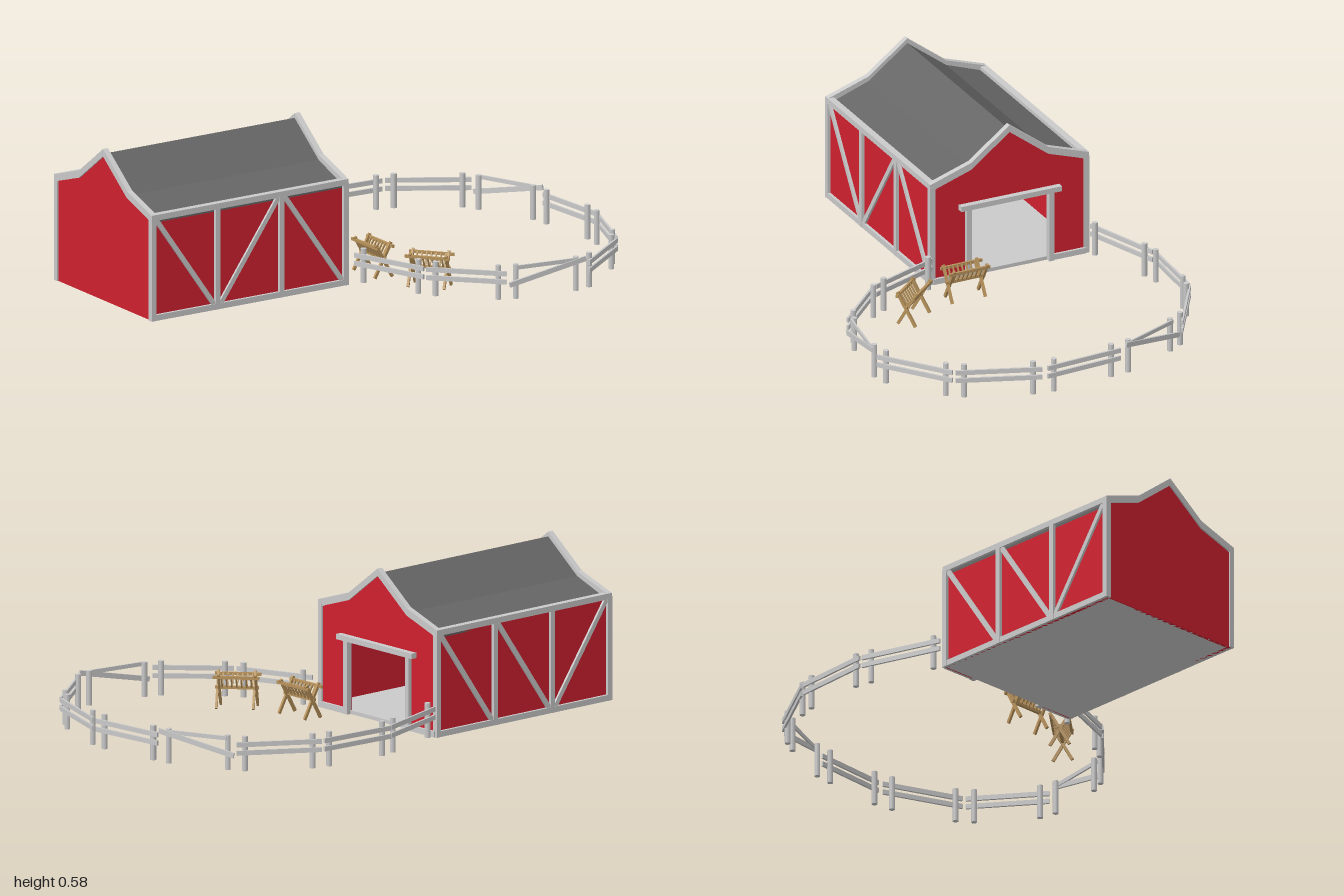
import * as THREE from 'three';

const V = (x, y, z) => new THREE.Vector3(x, y, z);
const material = (name, color) => {
  const m = new THREE.MeshStandardMaterial({ color });
  m.name = name;
  return m;
};

export function createModel() {
  const red = material('barn red', 0xd0202f);
  const white = material('pale trim', 0xcacaca);
  const grey = material('roof grey', 0x666666);
  const wood = material('raw wood', 0xb8935c);

  const add = (parent, name, geometry, mat) => {
    const mesh = new THREE.Mesh(geometry, mat);
    mesh.name = name;
    parent.add(mesh);
    return mesh;
  };
  const box = (parent, name, mat, w, h, d, x, y, z) => {
    const mesh = add(parent, name, new THREE.BoxGeometry(w, h, d), mat);
    mesh.position.set(x, y, z);
    return mesh;
  };
  // Board from a to b: w wide, t thick along the facing direction n
  const board = (parent, name, mat, a, b, w, t, n) => {
    const along = b.clone().sub(a);
    const mesh = add(parent, name, new THREE.BoxGeometry(along.length(), w, t), mat);
    along.normalize();
    const side = n.clone().cross(along).normalize();
    const face = along.clone().cross(side);
    mesh.quaternion.setFromRotationMatrix(new THREE.Matrix4().makeBasis(along, side, face));
    mesh.position.copy(a).add(b).multiplyScalar(0.5);
    return mesh;
  };

  const model = new THREE.Group();
  model.name = 'barn and paddock';

  // ---- Barn, turned slightly ----
  const barn = new THREE.Group();
  barn.name = 'barn';
  barn.position.set(-0.525, 0, -0.075);
  barn.rotation.y = 0.152;
  model.add(barn);

  // Roof line, with a drop in height and a trimmed half width
  const roofLine = (drop, half) => [
    [-half, 0.402 - drop], [-0.158, 0.457 - drop], [0, 0.577 - drop],
    [0.158, 0.457 - drop], [half, 0.402 - drop]];
  const crossSection = (points, depth, x) => {
    const shape = new THREE.Shape(points.map(p => new THREE.Vector2(...p)));
    const g = new THREE.ExtrudeGeometry(shape, { depth, bevelEnabled: false });
    return g.rotateY(Math.PI / 2).translate(x, 0, 0);
  };

  box(barn, 'floor', white, 0.84, 0.014, 0.63, 0, 0.007, 0);
  const top = roofLine(0.018, 0.312);
  add(barn, 'roof', crossSection([...top, ...roofLine(0.032, 0.312).reverse()], 0.82, -0.41), grey);
  add(barn, 'rearGable', crossSection([[0.312, 0], [-0.312, 0], ...top], 0.012, -0.424), red);
  const doorway = [[0.312, 0], [0.16, 0], [0.16, 0.28], [-0.16, 0.28], [-0.16, 0], [-0.312, 0]];
  add(barn, 'doorGable', crossSection([...doorway, ...top], 0.012, 0.412), red);

  for (const x of [-0.43, 0.408]) {
    add(barn, 'gableTrim',
      crossSection([...roofLine(0, 0.324), ...roofLine(0.028, 0.324).reverse()], 0.022, x), white);
  }

  // Long walls: posts, base, eave and diagonal braces; +1 means the brace rises towards +x
  const bays = [-0.42, -0.14, 0.14, 0.42];
  for (const [s, rises] of [[1, [-1, 1, -1]], [-1, [-1, 1, 1]]]) {
    box(barn, 'sideWall', red, 0.84, 0.385, 0.012, 0, 0.1925, s * 0.306);
    box(barn, 'sideBase', white, 0.84, 0.022, 0.012, 0, 0.011, s * 0.317);
    box(barn, 'eaveBeam', white, 0.86, 0.022, 0.026, 0, 0.392, s * 0.311);
    bays.forEach((x, i) => {
      const corner = i === 0 || i === 3;
      box(barn, corner ? 'cornerPost' : 'wallPost', white, 0.021, 0.39, corner ? 0.021 : 0.014,
        x, 0.195, s * (corner ? 0.3135 : 0.317));
    });
    rises.forEach((r, i) => {
      const mid = (bays[i] + bays[i + 1]) / 2;
      board(barn, 'diagonalBrace', white, V(mid - 0.126, 0.2 - r * 0.18, s * 0.316),
        V(mid + 0.126, 0.2 + r * 0.18, s * 0.316), 0.018, 0.01, V(0, 0, 1));
    });
    // Doorway trim on the gable facing the paddock
    box(barn, 'doorPost', white, 0.022, 0.28, 0.021, 0.427, 0.14, s * 0.168);
    box(barn, 'gableBase', white, 0.012, 0.022, 0.14, 0.428, 0.011, s * 0.243);
  }
  box(barn, 'doorHeader', white, 0.03, 0.02, 0.41, 0.433, 0.287, 0);

  // ---- Paddock fence: panels as [x1, z1, x2, z2, broken] ----
  const panels = [
    [-0.135, -0.46, 0.15, -0.605], [0.155, -0.612, 0.465, -0.642], [0.475, -0.643, 0.765, -0.52],
    [0.77, -0.51, 0.93, -0.255, true], [0.92, -0.235, 0.99, 0.065], [0.99, 0.085, 0.925, 0.395],
    [0.92, 0.405, 0.705, 0.625], [0.69, 0.637, 0.385, 0.637, true],
    [0.375, 0.63, 0.135, 0.455], [0.13, 0.445, -0.025, 0.18]];
  const fence = new THREE.Group();
  fence.name = 'fence';
  model.add(fence);
  for (const [x1, z1, x2, z2, broken] of panels) {
    const panel = new THREE.Group();
    panel.name = broken ? 'brokenPanel' : 'fencePanel';
    const length = Math.hypot(x2 - x1, z2 - z1);
    panel.position.set((x1 + x2) / 2, 0, (z1 + z2) / 2);
    panel.rotation.y = -Math.atan2(z2 - z1, x2 - x1);
    fence.add(panel);
    const h = length / 2;
    // Local +z points into the paddock
    for (const s of [-1, 1]) {
      const post = add(panel, 'fencePost', new THREE.CylinderGeometry(0.011, 0.011, 0.13, 8), white);
      post.position.set(s * (h - 0.032), 0.075, broken ? 0.016 : 0.008);
    }
    if (broken) {
      const low = x1 > x2 ? 1 : -1; // end where the loose rail has dropped
      const out = low > 0 ? h : -h;
      board(panel, 'fallenRail', white, V(out, 0.068, 0), V(-out, 0.132, 0), 0.019, 0.008, V(0, 0, 1));
      board(panel, 'topRail', white, V(-h + 0.03, 0.13, 0.004), V(h - 0.03, 0.13, 0.004), 0.015, 0.007, V(0, 0, 1));
    } else {
      for (const y of [0.08, 0.111]) {
        box(panel, 'fenceRail', white, length, 0.018, 0.008, 0, y, -0.003);
      }
    }
  }

  // ---- Feed racks: crossed legs with a slatted trough ----
  const addRack = (x, z, angle) => {
    const rack = new THREE.Group();
    rack.name = 'feedRack';
    rack.position.set(x, 0, z);
    rack.rotation.y = angle;
    model.add(rack);
    for (const s of [-1, 1]) {
      for (const end of [-1, 1]) {
        board(rack, 'crossedLeg', wood, V(end * 0.068 + s * 0.004, 0.004, -s * 0.036),
          V(end * 0.068 + s * 0.004, 0.132, s * 0.036), 0.011, 0.009, V(1, 0, 0));
      }
      board(rack, 'troughRail', wood, V(-0.085, 0.12, s * 0.033), V(0.085, 0.12, s * 0.033),
        0.011, 0.009, V(0, 0, 1));
      for (let i = 0; i < 7; i++) {
        const sx = -0.054 + i * 0.018;
        board(rack, 'troughSlat', wood, V(sx, 0.078, s * 0.005), V(sx, 0.122, s * 0.031),
          0.006, 0.005, V(1, 0, 0));
      }
    }
    box(rack, 'troughKeel', wood, 0.16, 0.011, 0.011, 0, 0.076, 0);
  };
  addRack(0.088, 0.09, -1.4);
  addRack(0.207, 0.325, -0.7);

  return model;
}
